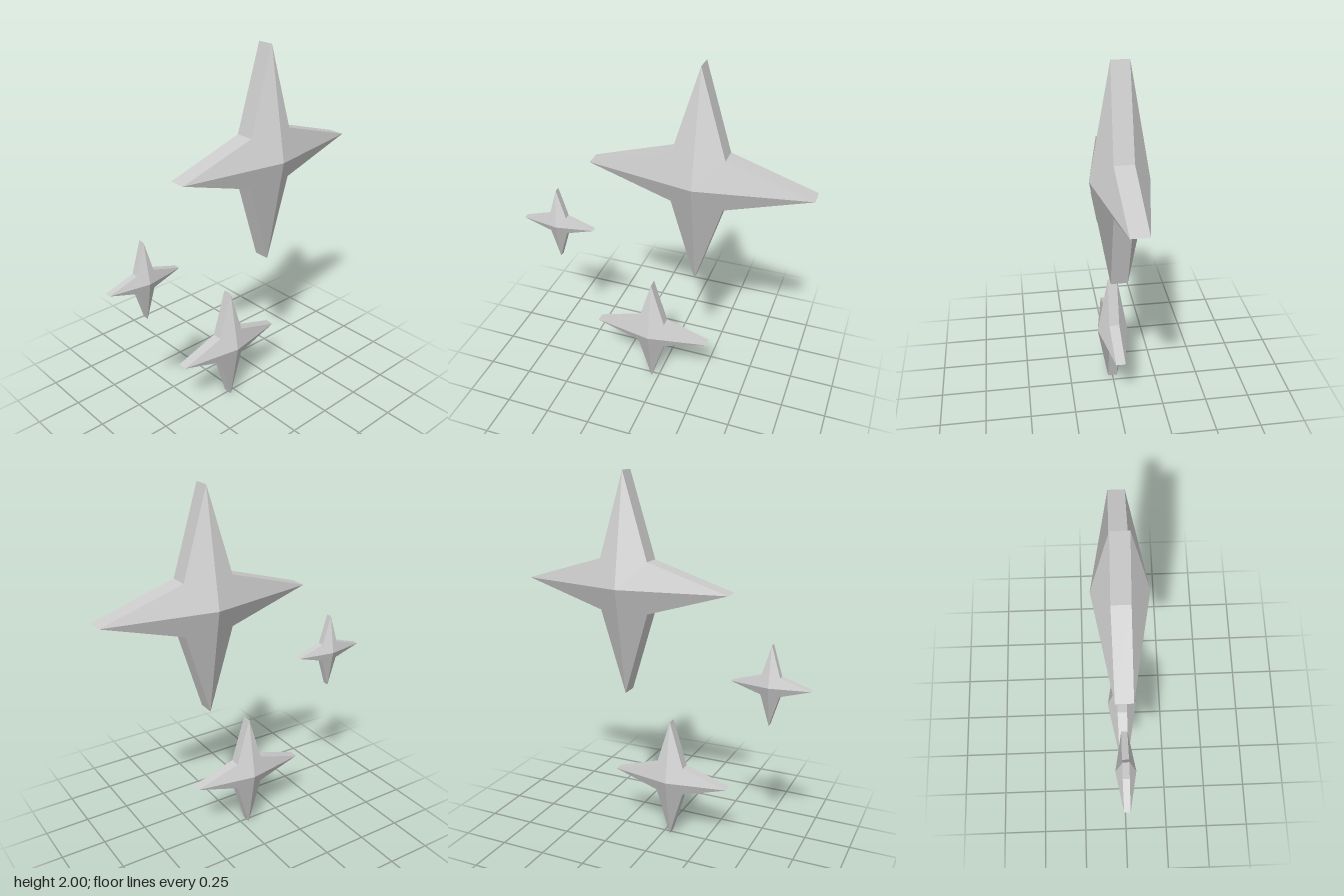
import * as THREE from 'three';

// Four-pointed star of unit design, faceted: a shallow pyramid front and back, joined by a thin rim
function starGeometry() {
  const RX = 0.58, RY = 0.592, INNER = 0.137;
  const APEX = 0.15, TIP_Z = 0.045, INNER_Z = 0.05;
  const positions = [], normals = [];

  // One quad with a single normal across it
  const quad = (a, b, c, d) => {
    const n = c.clone().sub(a).cross(d.clone().sub(b)).normalize();
    for (const p of [a, b, c, a, c, d]) {
      positions.push(p.x, p.y, p.z);
      normals.push(n.x, n.y, n.z);
    }
  };

  // Outline point i (even = tip, odd = inner corner) on side s (+1 front, -1 back)
  const point = (i, s) => {
    const a = (i * Math.PI) / 4;
    return i % 2 === 0
      ? new THREE.Vector3(RX * Math.cos(a), RY * Math.sin(a), s * TIP_Z)
      : new THREE.Vector3(INNER * Math.sign(Math.cos(a)), INNER * Math.sign(Math.sin(a)), s * INNER_Z);
  };

  const front = new THREE.Vector3(0, 0, APEX), back = new THREE.Vector3(0, 0, -APEX);
  for (let i = 0; i < 8; i += 2) {
    // Front and back facets of one quadrant
    quad(front, point(i, 1), point(i + 1, 1), point(i + 2, 1));
    quad(back, point(i + 2, -1), point(i + 1, -1), point(i, -1));
  }
  // Rim walls
  for (let i = 0; i < 8; i++) {
    quad(point(i, 1), point(i, -1), point(i + 1, -1), point(i + 1, 1));
  }

  const geometry = new THREE.BufferGeometry();
  geometry.setAttribute('position', new THREE.Float32BufferAttribute(positions, 3));
  geometry.setAttribute('normal', new THREE.Float32BufferAttribute(normals, 3));
  return geometry;
}

export function createModel() {
  const group = new THREE.Group();
  group.name = 'sparkles';
  const geometry = starGeometry();
  const material = new THREE.MeshStandardMaterial({ color: 0xcccccc });

  // name, centre x, centre y, scale
  const stars = [
    ['largeStar', 0.215, 1.408, 1],
    ['mediumStar', -0.041, 0.341, 0.572],
    ['smallStar', -0.59, 0.962, 0.361],
  ];
  for (const [name, x, y, scale] of stars) {
    const star = new THREE.Mesh(geometry, material);
    star.name = name;
    star.position.set(x, y, 0);
    star.scale.setScalar(scale);
    group.add(star);
  }
  return group;
}
